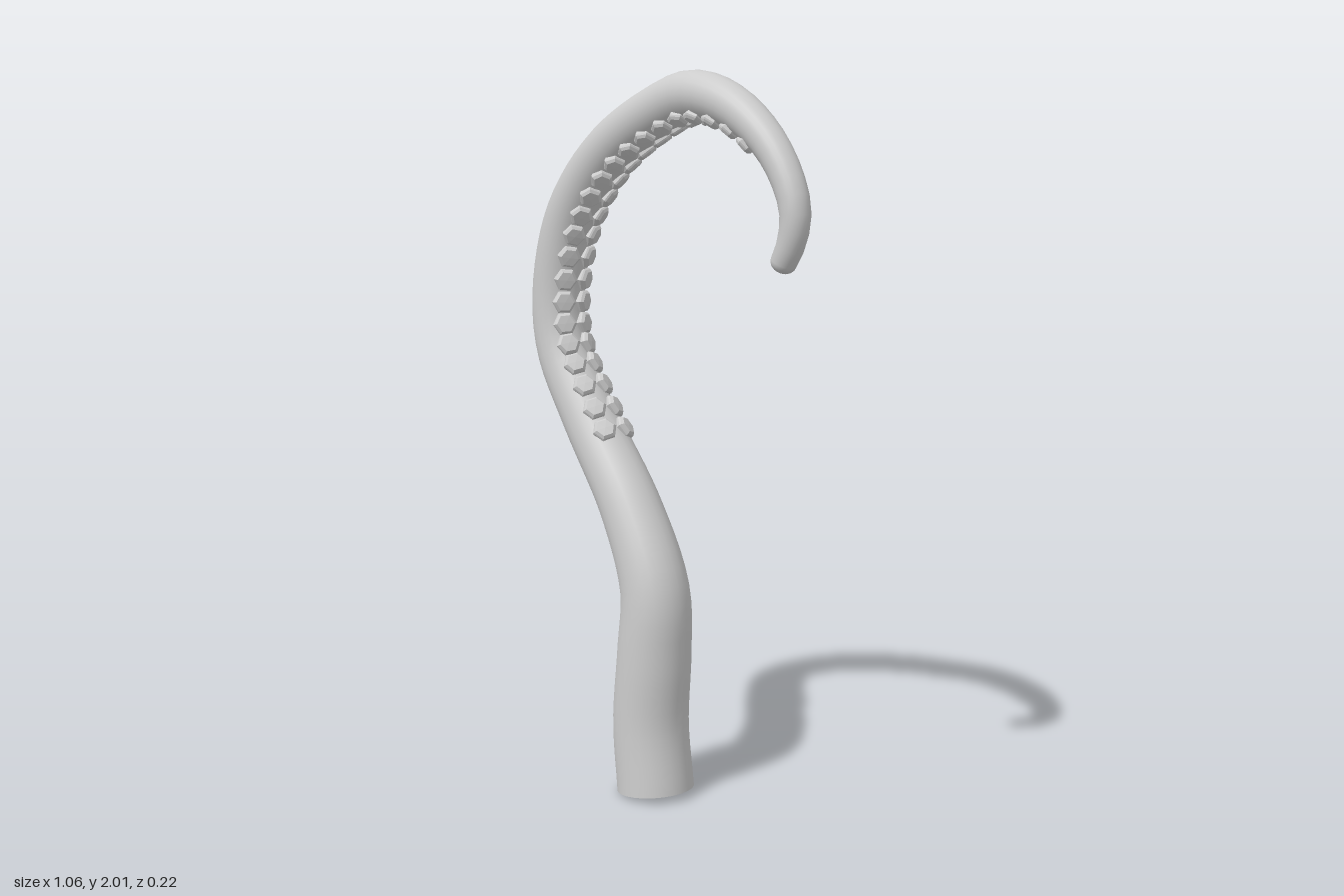
import * as THREE from 'three';

const material = new THREE.MeshStandardMaterial({ color: 0xcccccc, side: THREE.DoubleSide });

// Centre line as x, y and radius
const spine = new THREE.CatmullRomCurve3([
  [-0.03, 0, 0.11], [-0.05, 0.19, 0.108], [-0.035, 0.4, 0.105], [-0.033, 0.58, 0.098],
  [-0.135, 0.8, 0.088], [-0.315, 1.04, 0.08], [-0.435, 1.23, 0.077], [-0.455, 1.38, 0.077],
  [-0.41, 1.57, 0.077], [-0.335, 1.69, 0.075], [-0.21, 1.803, 0.072], [-0.03, 1.893, 0.068],
  [0.115, 1.932, 0.065], [0.255, 1.902, 0.057], [0.385, 1.815, 0.048], [0.461, 1.715, 0.043],
  [0.49, 1.63, 0.04], [0.479, 1.56, 0.037], [0.452, 1.508, 0.034],
].map((p) => new THREE.Vector3(...p)));

// Frame at u: centre, radius, direction of travel and inward normal
function frameAt(u) {
  const p = spine.getPointAt(u);
  const t = spine.getTangentAt(u).setZ(0).normalize();
  return { centre: new THREE.Vector3(p.x, p.y, 0), radius: p.z, t, n: new THREE.Vector3(t.y, -t.x, 0) };
}

// Unit direction out of the arm at an angle from the inner side
function outward(f, angle) {
  return f.n.clone().multiplyScalar(Math.cos(angle)).setZ(Math.sin(angle));
}

function armGeometry() {
  const sides = 24, steps = 72, capSteps = 5;
  const positions = [], index = [];
  for (let i = 0; i <= steps + capSteps; i++) {
    const f = frameAt(Math.min(i / steps, 1));
    // Rounded tip past the end of the centre line
    const a = Math.max(0, i - steps) / capSteps * Math.PI / 2;
    f.centre.addScaledVector(f.t, Math.sin(a) * f.radius * 0.8);
    for (let j = 0; j < sides; j++) {
      const v = outward(f, j / sides * Math.PI * 2)
        .multiplyScalar(f.radius * Math.max(Math.cos(a), 0.01)).add(f.centre);
      positions.push(v.x, v.y, v.z);
      if (i < steps + capSteps) {
        const p = i * sides + j, q = i * sides + (j + 1) % sides;
        index.push(p, p + sides, q, q, p + sides, q + sides);
      }
    }
  }
  const g = new THREE.BufferGeometry();
  g.setAttribute('position', new THREE.Float32BufferAttribute(positions, 3));
  g.setIndex(index);
  g.computeVertexNormals();
  return g;
}

// Curve position nearest to a point
function nearestU(x, y) {
  let best = 0, distance = Infinity;
  for (let i = 0; i <= 400; i++) {
    const p = spine.getPointAt(i / 400), d = Math.hypot(p.x - x, p.y - y);
    if (d < distance) { distance = d; best = i / 400; }
  }
  return best;
}

export function createModel() {
  const group = new THREE.Group();
  group.name = 'tentacle';

  const arm = new THREE.Mesh(armGeometry(), material);
  arm.name = 'arm';
  group.add(arm);

  // Six-sided sucker of unit radius with a bevelled rim
  const profile = [[0.85, -0.35], [1, 0.15], [0.94, 0.3], [0.74, 0.5], [0, 0.53]];
  const sucker = new THREE.LatheGeometry(profile.map((p) => new THREE.Vector2(...p)), 6).toNonIndexed();
  sucker.computeVertexNormals();

  // Two rows of suckers along the inside of the curl
  const suckers = new THREE.Group();
  suckers.name = 'suckers';
  const count = 22, start = nearestU(-0.27, 0.96), end = nearestU(0.36, 1.835);
  for (let i = 0; i < count; i++) {
    const k = i / (count - 1);
    const f = frameAt(THREE.MathUtils.lerp(start, end, k));
    const size = THREE.MathUtils.lerp(0.036, 0.027, k * k);
    for (const side of [-1, 1]) {
      const up = outward(f, side * 0.46);
      const mesh = new THREE.Mesh(sucker, material);
      mesh.name = side > 0 ? 'frontSucker' : 'backSucker';
      mesh.quaternion.setFromRotationMatrix(
        new THREE.Matrix4().makeBasis(f.t, up, f.t.clone().cross(up)));
      mesh.position.copy(f.centre).addScaledVector(up, f.radius * 0.98);
      mesh.scale.setScalar(size);
      suckers.add(mesh);
    }
  }
  group.add(suckers);
  return group;
}
